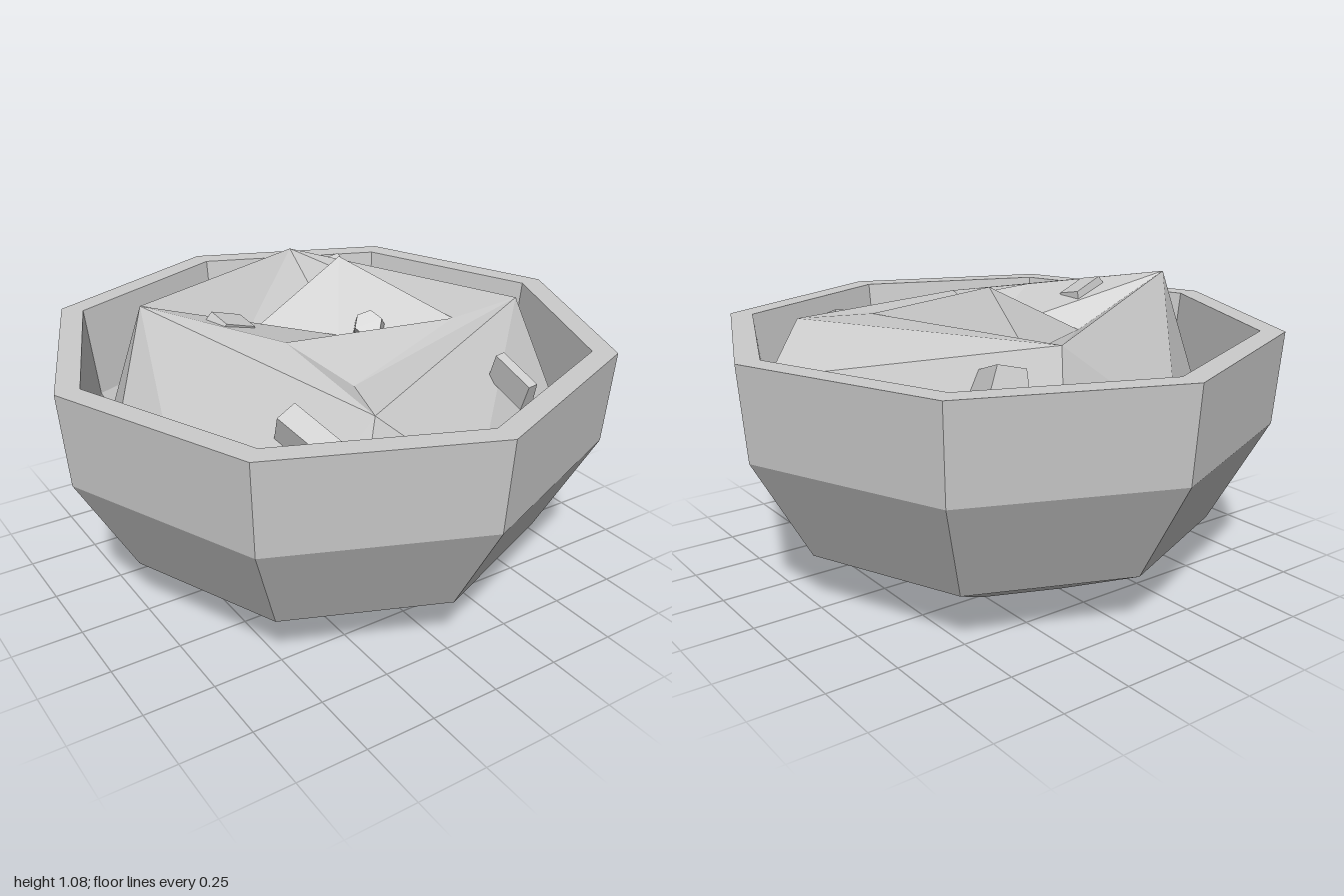
import * as THREE from 'three';

const material = new THREE.MeshStandardMaterial({ color: 0xcccccc, flatShading: true, side: THREE.DoubleSide });

function add(group, name, geometry) {
  const mesh = new THREE.Mesh(geometry, material);
  mesh.name = name;
  group.add(mesh);
  return mesh;
}

// Corners of the faceted filling: x, y, z
const corners = {
  // high ridge
  A: [-0.61, 1.05, -0.2], F: [0.25, 0.98, -0.66], C: [0.67, 0.96, 0.23], E: [-0.24, 0.89, 0.64],
  // crumpled middle
  B: [0.19, 1.08, -0.21], D: [0.38, 0.94, 0.23], G: [0.2, 0.9, -0.43], H: [-0.24, 0.87, -0.16],
  I: [0.05, 0.87, 0], J: [-0.28, 0.98, 0.19], K: [-0.16, 0.88, 0.41],
  // low outer edge
  L: [-0.72, 0.65, -0.27], M: [-0.18, 0.65, -0.73], N: [0.3, 0.7, -0.74], W: [0.89, 0.84, 0],
  O: [0.74, 0.65, 0.16], P: [0.69, 0.6, 0.47], Q: [0.06, 0.62, 0.78], R: [-0.34, 0.62, 0.72],
  S: [-0.47, 0.58, 0.58], T: [-0.7, 0.58, 0.2], U: [-0.78, 0.62, -0.1],
};
const faces = 'AHF HGF HBG HIB IDB BDG FDC FGD AIH AJI JDI JKD JEK KCD KEC AEJ '
  + 'ALM AMF FMN FNW FWC WOC COP CPQ CQE EQR ERS EST AET ATU AUL';

function fillingGeometry() {
  const points = [];
  for (const face of faces.split(' ')) {
    let [a, b, c] = [...face].map((k) => new THREE.Vector3(...corners[k]));
    // every top face looks upward
    const up = b.clone().sub(a).cross(c.clone().sub(a)).y;
    if (up < 0) [b, c] = [c, b];
    points.push(a, b, c);
  }
  // sides running down into the bowl
  const rim = [...'LMNWOPQRSTU'].map((k) => new THREE.Vector3(...corners[k]));
  const foot = rim.map((p) => new THREE.Vector3(p.x * 0.8, 0.3, p.z * 0.8));
  rim.forEach((p, i) => {
    const j = (i + 1) % rim.length;
    points.push(p, rim[j], foot[i], rim[j], foot[j], foot[i]);
  });
  const geometry = new THREE.BufferGeometry().setFromPoints(points);
  geometry.computeVertexNormals();
  return geometry;
}

// Block that narrows toward its top
function taperedBlock(w, h, d, taper) {
  const geometry = new THREE.BoxGeometry(w, h, d);
  const p = geometry.attributes.position;
  for (let i = 0; i < p.count; i++) {
    if (p.getY(i) > 0) p.setX(i, p.getX(i) * taper);
  }
  geometry.computeVertexNormals();
  return geometry;
}

export function createModel() {
  const model = new THREE.Group();
  model.name = 'filledBowl';

  // Eight-sided bowl with a thick wall
  const profile = [
    [0, 0], [0.37, 0], [0.77, 0.2], [0.975, 0.57], [1, 0.9],
    [0.915, 0.9], [0.875, 0.57], [0.7, 0.26], [0.33, 0.09], [0, 0.09],
  ].map(([r, y]) => new THREE.Vector2(r, y));
  add(model, 'bowl', new THREE.LatheGeometry(profile, 8));

  add(model, 'filling', fillingGeometry());

  // Loose pieces: size, position, rotation
  const pieces = [
    [[0.14, 0.1, 0.26], [0.4, 0.84, -0.51], [0.35, -0.12, 0.3]],
    [[0.18, 0.07, 0.09], [-0.36, 0.97, -0.04], [0.2, 0.1, -0.35]],
    [[0.11, 0.1, 0.2], [-0.39, 0.8, 0.51], [0.4, 0.3, 0.3]],
    [[0.05, 0.1, 0.17], [0.37, 0.83, 0.57], [0.35, 0.05, 0.1]],
  ];
  for (const [size, position, rotation] of pieces) {
    const piece = add(model, 'loosePiece', taperedBlock(...size, 0.7));
    piece.position.set(...position);
    piece.rotation.set(...rotation);
  }
  const nugget = add(model, 'roundPiece', new THREE.CylinderGeometry(0.05, 0.07, 0.13, 6));
  nugget.position.set(0.14, 0.89, 0.06);
  nugget.rotation.set(0.5, 0.4, 0.5);

  return model;
}
